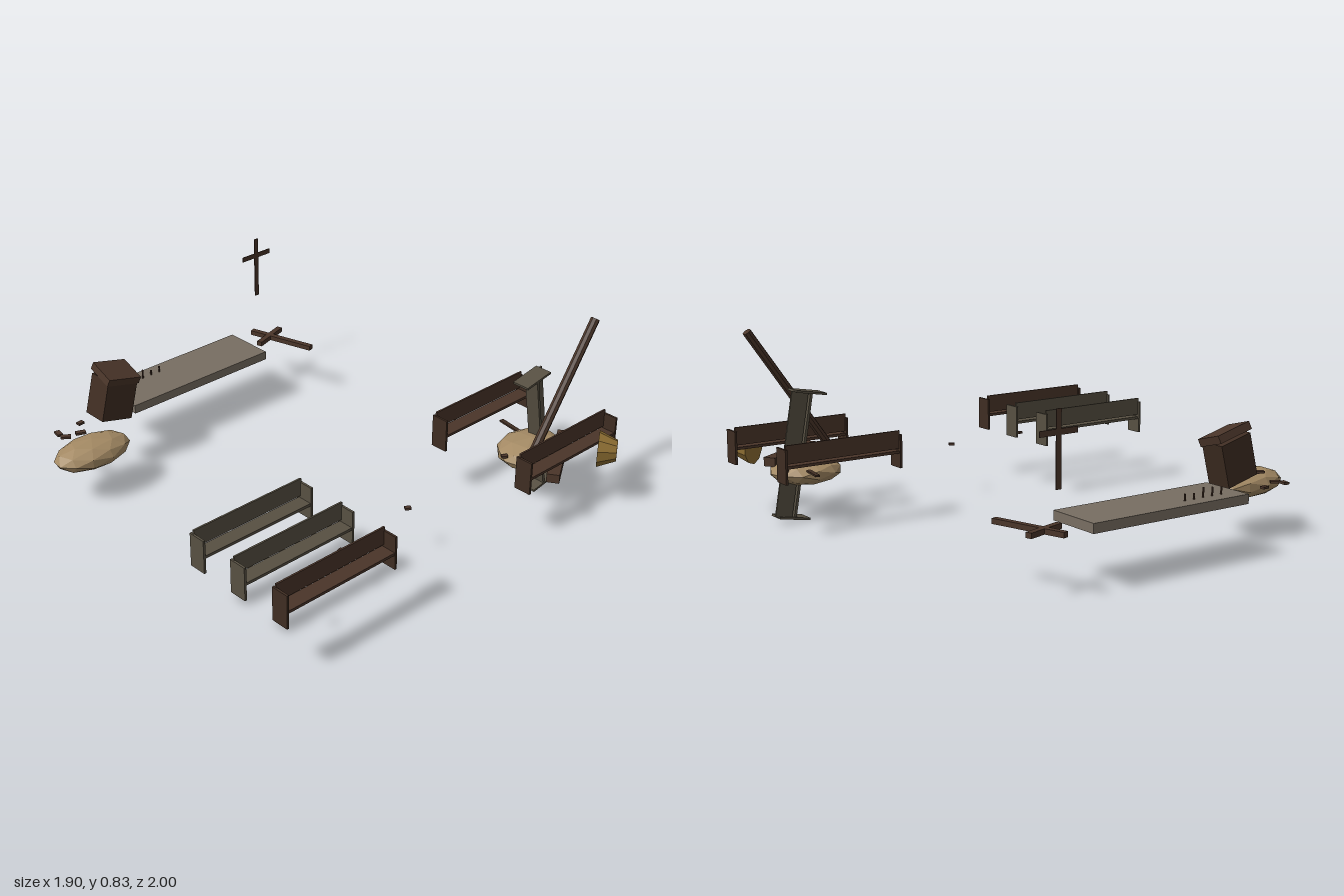
import * as THREE from 'three';

const mat = (color) => new THREE.MeshStandardMaterial({ color, flatShading: true });
const brown = mat(0x4a3529), darkBrown = mat(0x3f2d22), greyWood = mat(0x575042);
const stone = mat(0x786e62), tan = mat(0xa48a64), brass = mat(0x8c6d32);

function add(parent, name, geometry, material, x, y, z) {
  const mesh = new THREE.Mesh(geometry, material);
  mesh.name = name;
  mesh.position.set(x, y, z);
  parent.add(mesh);
  return mesh;
}
const box = (parent, name, material, w, h, d, x, y, z) =>
  add(parent, name, new THREE.BoxGeometry(w, h, d), material, x, y, z);

function group(parent, name, x, y, z) {
  const g = new THREE.Group();
  g.name = name;
  g.position.set(x, y, z);
  parent.add(g);
  return g;
}

// Bench: thin seat, upright back and two end panels
function pew(parent, material, x, y, z) {
  const g = group(parent, 'pew', x, y, z);
  box(g, 'seat', material, 0.55, 0.012, 0.068, 0, 0.07, 0.003);
  box(g, 'backrest', material, 0.55, 0.08, 0.008, 0, 0.125, -0.026);
  for (const s of [-1, 1])
    box(g, 'endPanel', material === greyWood ? greyWood : darkBrown, 0.01, 0.148, 0.08, s * 0.276, 0.074, 0);
  return g;
}

// Cross with its foot at the local origin
function cross(parent, name, height, barWidth, barY, thick, depth, x, y, z) {
  const g = group(parent, name, x, y, z);
  box(g, 'stem', brown, thick, height, depth, 0, height / 2, 0);
  box(g, 'bar', brown, barWidth, thick, depth, 0, barY, 0);
  return g;
}

// Squashed faceted mound
function mound(parent, x, y, z, sx, sy, sz, turn) {
  const geo = new THREE.IcosahedronGeometry(1, 1);
  geo.rotateY(turn);
  geo.scale(sx, sy, sz);
  add(parent, 'rubbleMound', geo, tan, x, y, z);
}

export function createModel() {
  const root = new THREE.Group();
  root.name = 'ruinedChapel';

  // Pews, with the middle one on the left side thrown on end
  pew(root, greyWood, -0.67, 0.237, 0.39);
  pew(root, greyWood, -0.67, 0.237, 0.627);
  pew(root, brown, -0.67, 0.237, 0.861);
  pew(root, brown, 0.666, 0.237, 0.39);
  pew(root, brown, 0.666, 0.237, 0.861);
  pew(root, greyWood, 0.664, 0.28, 0.629).rotation.z = -1.396;

  // Raised platform and a row of candles
  box(root, 'platform', stone, 0.777, 0.04, 0.246, -0.002, 0.256, -0.863);
  [0.03, 0.036, 0.042, 0.024, 0.028].forEach((h, i) =>
    add(root, 'candle', new THREE.CylinderGeometry(0.004, 0.004, h, 6), brown,
      -0.3 + i * 0.0475, 0.276 + h / 2, -0.924));

  // Toppling lectern
  const lectern = group(root, 'lectern', -0.525, 0.275, -0.752);
  lectern.rotation.z = -0.25;
  box(lectern, 'lecternBody', darkBrown, 0.16, 0.185, 0.12, 0, 0.0925, 0);
  box(lectern, 'lecternTop', brown, 0.172, 0.034, 0.135, 0.003, 0.2, 0).rotation.x = 0.28;

  // Crosses: one upright at the back, one fallen
  cross(root, 'wallCross', 0.295, 0.17, 0.21, 0.023, 0.004, 0.557, 0.43, -0.997);
  const fallen = cross(root, 'fallenCross', 0.335, 0.185, 0.235, 0.026, 0.022, 0.605, 0.252, -0.66);
  fallen.rotation.order = 'YXZ';
  fallen.rotation.set(-Math.PI / 2, 0.288, 0);

  // Mounds
  mound(root, -0.705, 0.214, -0.635, 0.187, 0.063, 0.107, 0.2);
  mound(root, 0.7, 0.217, 0.645, 0.163, 0.06, 0.146, 0.5);

  // Round beam leaning across the pews
  const a = new THREE.Vector3(0.485, 0.25, 0.785), b = new THREE.Vector3(0.898, 0.825, 0.772);
  const dir = b.clone().sub(a);
  const beam = add(root, 'leaningBeam', new THREE.CylinderGeometry(0.02, 0.02, dir.length(), 8), brown,
    ...a.clone().add(b).multiplyScalar(0.5).toArray());
  beam.quaternion.setFromUnitVectors(new THREE.Vector3(0, 1, 0), dir.normalize());

  // Fallen beams
  box(root, 'fallenBeam', brown, 0.38, 0.04, 0.055, 0.685, 0.259, 0.805).rotation.y = 0.57;
  box(root, 'brokenSlat', darkBrown, 0.02, 0.008, 0.12, 0.755, 0.24, 0.475).rotation.y = -0.15;

  // Tipped bell, narrow end forward
  const bell = add(root, 'bell', new THREE.CylinderGeometry(0.046, 0.079, 0.08, 10), brass, 0.84, 0.288, 0.942);
  bell.rotation.order = 'YXZ';
  bell.rotation.set(Math.PI / 2, 0.6, 0);

  // Scattered splinters: x, y, z, size, turn
  const splinters = [
    [-0.775, 0.24, 0.745, 0.026, 0.4], [-0.465, 0.24, 0.67, 0.024, 0.2], [-0.055, 0.24, 0.635, 0.026, -0.5],
    [0.435, 0.245, 0.815, 0.03, 0.3], [0.54, 0.24, 0.63, 0.028, -0.6], [0.84, 0.24, 0.58, 0.04, -0.7],
    [-0.75, 0.24, -0.82, 0.04, 1.4], [-0.74, 0.237, -0.78, 0.045, -0.6], [-0.625, 0.24, -0.832, 0.03, 0.1],
    [-0.705, 0.272, -0.715, 0.045, -0.4],
  ];
  for (const [x, y, z, s, turn] of splinters)
    box(root, 'splinter', brown, s, 0.01, Math.min(s * 0.75, 0.024), x, y, z).rotation.y = turn;

  return root;
}
